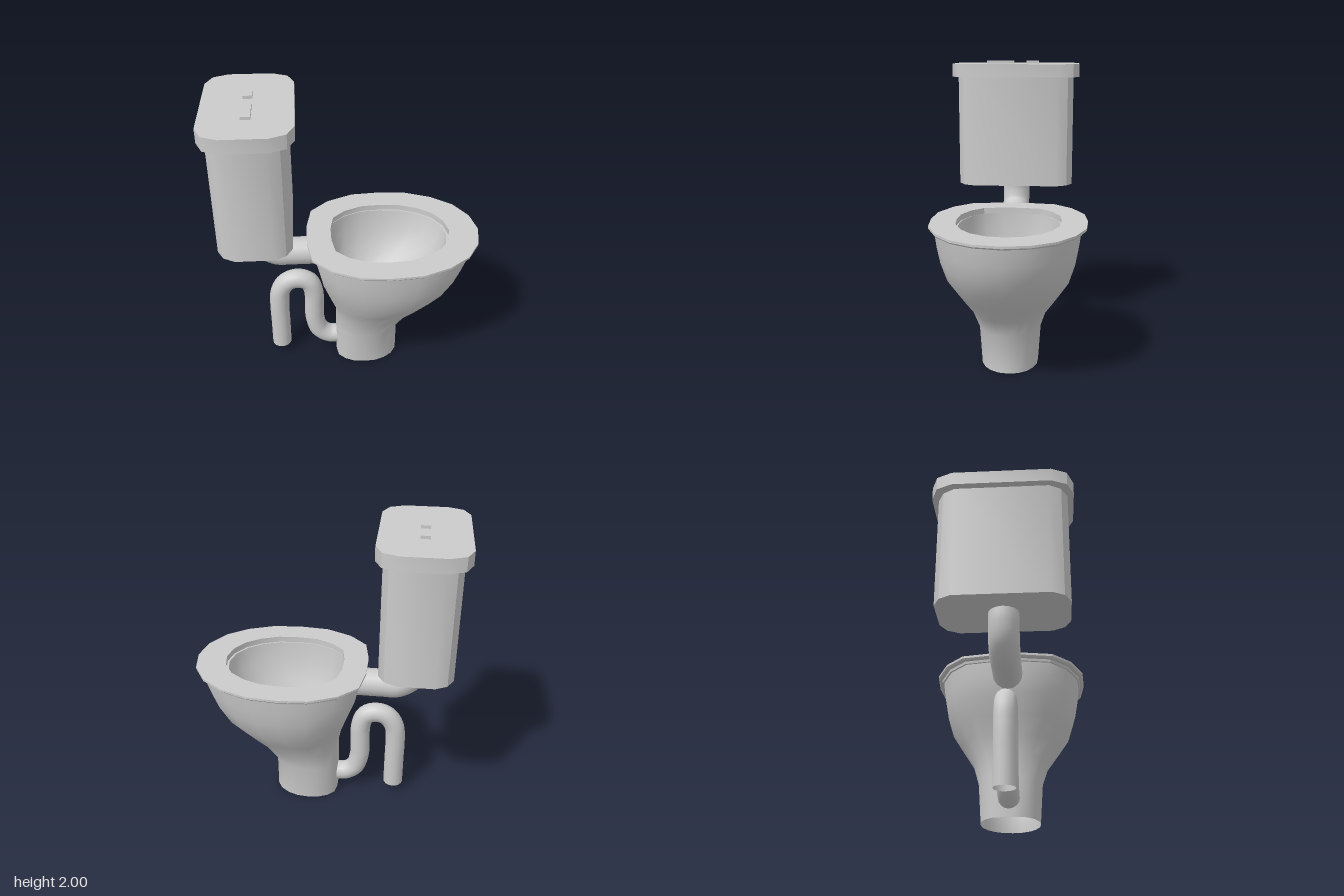
import * as THREE from 'three';
import { toCreasedNormals } from 'three/addons/utils/BufferGeometryUtils.js';

// Half of the egg-shaped outline: [0 back .. 1 front, share of half width]
const HALF = [[1, 0], [0.974, 0.33], [0.897, 0.62], [0.778, 0.83], [0.624, 0.97], [0.453, 1],
  [0.29, 0.97], [0.137, 0.81], [0.034, 0.575], [0.006, 0.2]];
const OUTLINE = [...HALF, ...HALF.slice(1).reverse().map(([u, w]) => [u, -w])];

const grey = new THREE.MeshStandardMaterial({ color: 0xcccccc });
const greyOpen = new THREE.MeshStandardMaterial({ color: 0xcccccc, side: THREE.DoubleSide });

function addMesh(group, name, geometry, material = grey) {
  const mesh = new THREE.Mesh(geometry, material);
  mesh.name = name;
  group.add(mesh);
  return mesh;
}

// Skin through egg-shaped rings given as [y, back x, front x, half width]
function loft(rings, crease) {
  const n = OUTLINE.length, pos = [], index = [];
  for (const [y, x0, x1, w] of rings)
    for (const [u, v] of OUTLINE) pos.push(x0 + (x1 - x0) * u, y, v * w);
  for (let i = 0; i < rings.length - 1; i++)
    for (let j = 0; j < n; j++) {
      const k = (j + 1) % n;
      const a = i * n + j, b = i * n + k, c = a + n, d = b + n;
      index.push(a, c, b, b, c, d);
    }
  const g = new THREE.BufferGeometry();
  g.setAttribute('position', new THREE.Float32BufferAttribute(pos, 3));
  g.setIndex(index);
  return toCreasedNormals(g, crease);
}

// Upright box whose corners are cut with three points each
function cutCornerPrism(hx, hz, y0, y1, mid, outer) {
  const corner = [[hx, hz - outer], [hx - mid, hz - mid], [hx - outer, hz]];
  const flip = (pts, sx, sz) => pts.map(([x, z]) => new THREE.Vector2(x * sx, z * sz));
  const back = [...corner].reverse();
  const shape = new THREE.Shape([
    ...flip(corner, 1, 1), ...flip(back, -1, 1), ...flip(corner, -1, -1), ...flip(back, 1, -1)]);
  const g = new THREE.ExtrudeGeometry(shape, { depth: y1 - y0, bevelEnabled: false });
  g.rotateX(-Math.PI / 2).translate(-0.605, y0, 0);
  return toCreasedNormals(g, 0.5);
}

// Round pipe through points in the x-y plane
function pipe(points, radius, segments) {
  const curve = new THREE.CatmullRomCurve3(points.map(([x, y]) => new THREE.Vector3(x, y, 0)));
  return new THREE.TubeGeometry(curve, segments, radius, 16);
}

export function createModel() {
  const model = new THREE.Group();
  model.name = 'toilet';

  // Pedestal, outer bowl, rim, then the inside down to the drain
  addMesh(model, 'bowl', loft([
    [0, -0.095, 0.35, 0.19],
    [0.26, -0.095, 0.35, 0.207],
    [0.39, -0.095, 0.45, 0.245],
    [0.52, -0.122, 0.585, 0.325],
    [0.64, -0.165, 0.7, 0.398],
    [0.77, -0.215, 0.78, 0.437],
    [0.87, -0.238, 0.815, 0.455],
    [0.975, -0.25, 0.838, 0.468],
    [0.975, -0.125, 0.665, 0.33],
    [0.85, -0.12, 0.63, 0.315],
    [0.7, -0.1, 0.52, 0.27],
    [0.55, -0.07, 0.34, 0.19],
    [0.42, -0.04, 0.13, 0.095],
    [0.33, 0.045, 0.045, 0],
  ], 0.75), greyOpen);

  // Thin seat ring with a stepped underside
  addMesh(model, 'seat', loft([
    [0.972, -0.125, 0.68, 0.338],
    [0.972, -0.262, 0.852, 0.477],
    [0.988, -0.265, 0.855, 0.48],
    [0.99, -0.28, 0.87, 0.495],
    [1.0, -0.29, 0.88, 0.505],
    [1.015, -0.29, 0.88, 0.505],
    [1.015, -0.125, 0.68, 0.338],
    [0.972, -0.125, 0.68, 0.338],
  ], 0.6));

  // Cistern, lid and the two flush buttons
  addMesh(model, 'tank', cutCornerPrism(0.235, 0.41, 1.12, 1.89, 0.04, 0.115));
  addMesh(model, 'tankLid', cutCornerPrism(0.28, 0.45, 1.89, 1.98, 0.043, 0.142));
  for (const [name, z0, z1] of [['smallButton', -0.16, -0.07], ['largeButton', 0.02, 0.215]]) {
    addMesh(model, name, new THREE.BoxGeometry(0.06, 0.04, z1 - z0))
      .position.set(-0.605, 1.98, (z0 + z1) / 2);
  }

  // Flush pipe from tank to bowl
  addMesh(model, 'flushPipe', pipe([[-0.605, 1.13], [-0.605, 1.05], [-0.575, 0.955],
    [-0.485, 0.893], [-0.4, 0.89], [-0.19, 0.89]], 0.096, 28), greyOpen);

  // Bent waste pipe behind the pedestal
  addMesh(model, 'wastePipe', pipe([[-0.495, 0.065], [-0.495, 0.25], [-0.495, 0.44], [-0.482, 0.55],
    [-0.43, 0.625], [-0.35, 0.647], [-0.28, 0.615], [-0.25, 0.53], [-0.248, 0.4], [-0.246, 0.28],
    [-0.215, 0.175], [-0.15, 0.125], [-0.08, 0.12], [0.0, 0.12]], 0.068, 60), greyOpen);

  return model;
}
